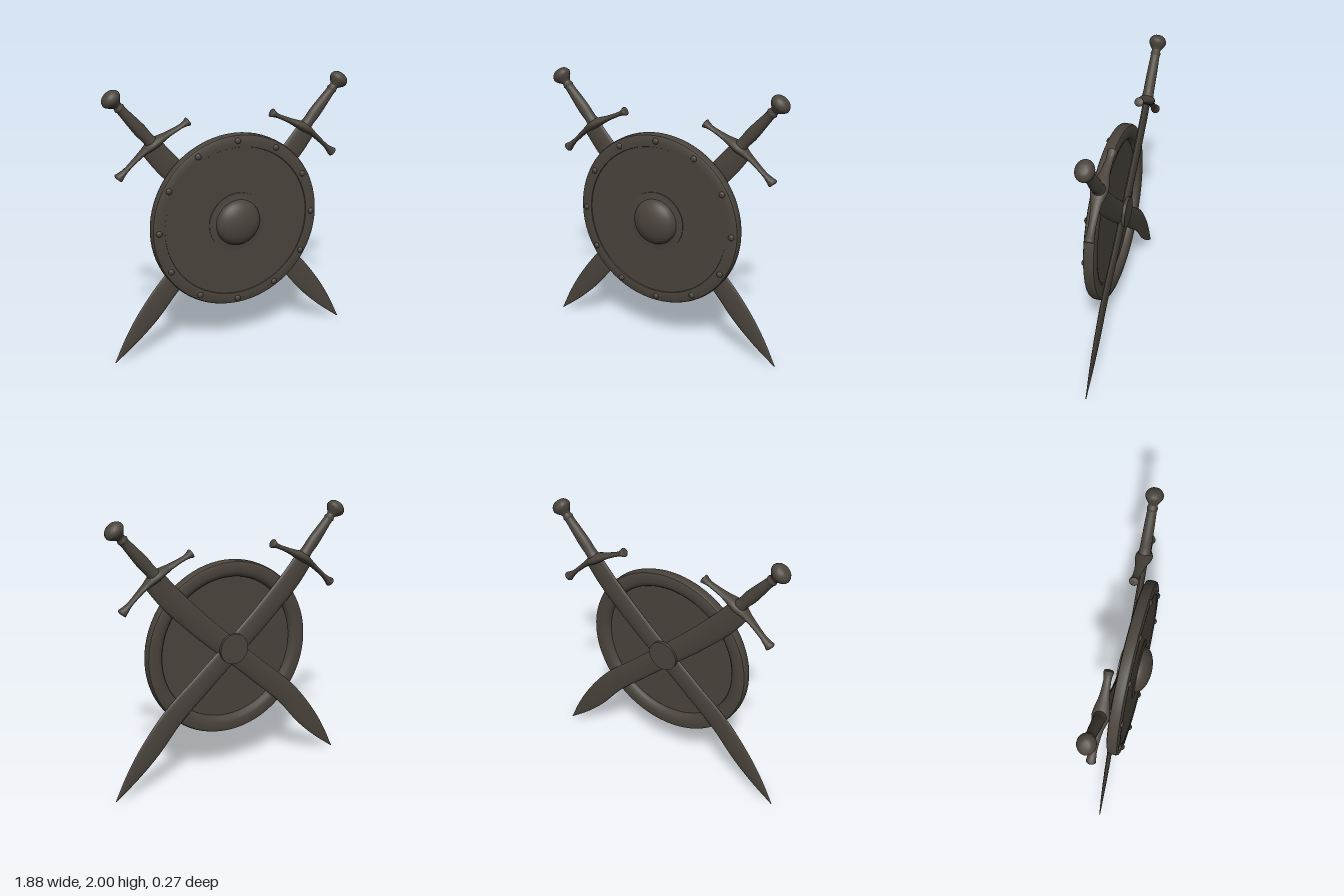
import * as THREE from 'three';
import { toCreasedNormals } from 'three/addons/utils/BufferGeometryUtils.js';

const iron = new THREE.MeshStandardMaterial({ color: 0x4a443c });
iron.name = 'darkIron';
const CENTRE_Y = 0.99;

function addMesh(parent, name, geometry, crease = 0.6) {
  const mesh = new THREE.Mesh(toCreasedNormals(geometry, crease), iron);
  mesh.name = name;
  parent.add(mesh);
  return mesh;
}

// Elliptical sections swept along a path; station = [x, y, z, half width, half depth]
function loft(stations, steps = 4, sides = 20) {
  const path = new THREE.CatmullRomCurve3(stations.map(s => new THREE.Vector3(s[0], s[1], s[2])), false, 'catmullrom');
  const size = new THREE.CatmullRomCurve3(stations.map(s => new THREE.Vector3(s[3], s[4], 0)), false, 'catmullrom');
  const rows = (stations.length - 1) * steps;
  const pos = [], index = [];
  for (let i = 0; i <= rows; i++) {
    const u = i / rows, p = path.getPoint(u), t = path.getTangent(u), s = size.getPoint(u);
    const w = Math.max(s.x, 0.001), d = Math.max(s.y, 0.001), l = Math.hypot(t.x, t.y);
    for (let j = 0; j < sides; j++) {
      const a = (j / sides) * Math.PI * 2, c = Math.cos(a) * w;
      pos.push(p.x - (t.y / l) * c, p.y + (t.x / l) * c, p.z + Math.sin(a) * d);
      if (i < rows) {
        const k = (j + 1) % sides, r = i * sides, n = r + sides;
        index.push(r + j, r + k, n + j, r + k, n + k, n + j);
      }
    }
  }
  const g = new THREE.BufferGeometry();
  g.setAttribute('position', new THREE.Float32BufferAttribute(pos, 3));
  g.setIndex(index);
  g.computeVertexNormals();
  return g;
}

// Turned profile [radius, z] facing the front
function turned(profile, segments = 72) {
  return new THREE.LatheGeometry(profile.map(p => new THREE.Vector2(p[0], p[1])), segments).rotateX(Math.PI / 2);
}

function createShield() {
  const shield = new THREE.Group();
  shield.name = 'shield';
  shield.position.y = CENTRE_Y;
  addMesh(shield, 'shieldPanel', turned([[0, 0.005], [0.56, 0.005], [0.56, 0.039], [0, 0.039]]));
  // Rounded rim, closed all the way round
  addMesh(shield, 'shieldRim', turned([
    [0.553, 0.03], [0.53, 0.004], [0.535, -0.02], [0.55, -0.035], [0.575, -0.042], [0.625, -0.042],
    [0.643, -0.036], [0.65, -0.02], [0.65, 0.022], [0.643, 0.036], [0.625, 0.043], [0.59, 0.047],
    [0.56, 0.045], [0.553, 0.03]]));
  // Central boss: flat flange and dome
  const boss = [[0.222, 0.03], [0.222, 0.045], [0.185, 0.047], [0.172, 0.05]];
  for (let i = 1; i <= 12; i++) {
    const a = (i / 12) * Math.PI / 2;
    boss.push([Math.max(0.17 * Math.cos(a), 0), 0.05 + 0.087 * Math.sin(a)]);
  }
  addMesh(shield, 'shieldBoss', turned(boss, 48));
  // Ring of rivets
  for (let i = 0; i < 12; i++) {
    const a = (i / 12) * Math.PI * 2;
    const rivet = addMesh(shield, 'rivet', new THREE.SphereGeometry(0.023, 14, 10));
    rivet.scale.z = 0.75;
    rivet.position.set(Math.sin(a) * 0.602, Math.cos(a) * 0.605, 0.043);
  }
  return shield;
}

function createSword() {
  const sword = new THREE.Group();
  sword.name = 'sword';
  // Leaf-shaped blade, from the guard down to the tip
  addMesh(sword, 'blade', loft([
    [-0.615, 1.605, -0.068, 0.08, 0.021], [-0.473, 1.432, -0.066, 0.086, 0.021],
    [-0.24, 1.2, -0.064, 0.084, 0.021], [0, 0.985, -0.064, 0.082, 0.021],
    [0.24, 0.772, -0.063, 0.083, 0.019], [0.476, 0.562, -0.061, 0.086, 0.016],
    [0.655, 0.348, -0.059, 0.083, 0.013], [0.803, 0.168, -0.057, 0.053, 0.009],
    [0.937, 0.003, -0.055, 0.003, 0.003]], 6), 0.9);

  // Pommel and grip lie on one straight axis; [distance, half width, half depth]
  const onAxis = ([s, w, d]) => [-0.867 + 0.642 * s, 1.942 - 0.766 * s, -0.073, w, d];
  addMesh(sword, 'pommel', loft([
    [-0.052, 0, 0], [-0.047, 0.036, 0.032], [-0.028, 0.062, 0.053], [0, 0.072, 0.062],
    [0.025, 0.06, 0.052], [0.05, 0.036, 0.036], [0.065, 0.028, 0.028]].map(onAxis)), 1);
  addMesh(sword, 'grip', loft([
    [0.05, 0.031, 0.031], [0.07, 0.032, 0.032], [0.085, 0.038, 0.037], [0.105, 0.033, 0.033],
    [0.2, 0.04, 0.036], [0.3, 0.046, 0.038], [0.38, 0.042, 0.04], [0.45, 0.055, 0.05]].map(onAxis)), 1);

  // Bowed crossguard with flared ends and a thick middle
  addMesh(sword, 'crossguard', loft([
    [-0.848, 1.385, -0.08, 0, 0], [-0.843, 1.39, -0.08, 0.033, 0.032], [-0.815, 1.415, -0.08, 0.025, 0.03],
    [-0.77, 1.457, -0.078, 0.016, 0.026], [-0.67, 1.548, -0.074, 0.021, 0.036],
    [-0.585, 1.612, -0.072, 0.036, 0.06], [-0.48, 1.665, -0.074, 0.021, 0.036],
    [-0.385, 1.708, -0.078, 0.016, 0.026], [-0.345, 1.728, -0.08, 0.023, 0.03],
    [-0.322, 1.741, -0.08, 0.032, 0.032], [-0.316, 1.745, -0.08, 0, 0]]), 0.9);
  return sword;
}

export function createModel() {
  const model = new THREE.Group();
  model.name = 'crossedSwordsAndShield';
  model.add(createShield());

  const rightSword = createSword();
  rightSword.name = 'rightSword';
  const leftSword = createSword();
  leftSword.name = 'leftSword';
  leftSword.scale.x = -1;
  leftSword.position.z = 0.004;
  model.add(rightSword, leftSword);

  // Round plate holding the blades together at the back
  const plate = addMesh(model, 'backPlate', new THREE.CylinderGeometry(0.113, 0.113, 0.024, 40).rotateX(Math.PI / 2));
  plate.position.set(-0.005, 1.005, -0.088);
  return model;
}
